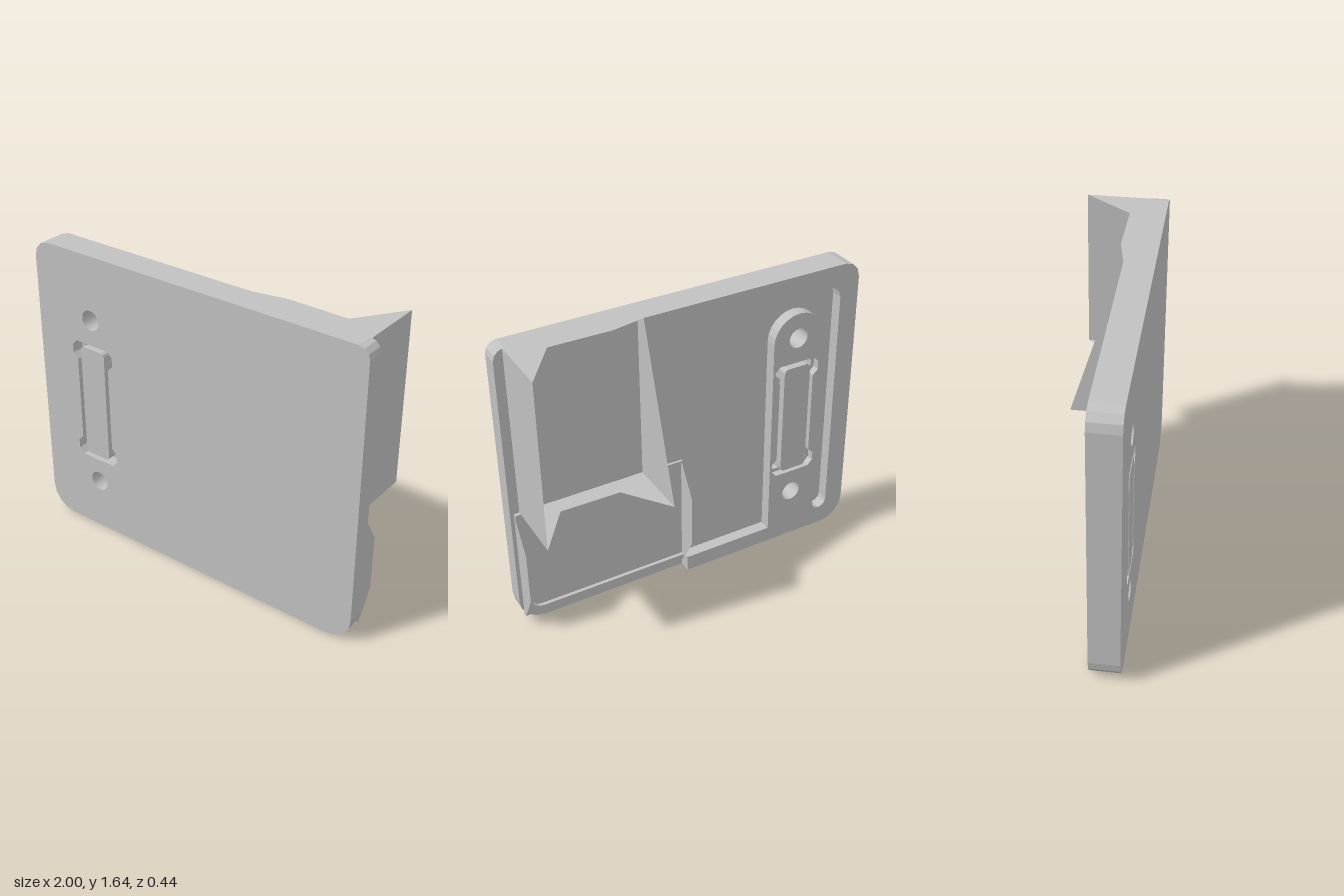
import * as THREE from 'three';

const grey = new THREE.MeshStandardMaterial({ color: 0xc0c0c0, side: THREE.DoubleSide });
grey.name = 'plain grey';

const toPath = (pts, Type = THREE.Shape) => new Type(pts.map(([a, b]) => new THREE.Vector2(a, b)));

// points along an arc, angles in degrees
function arc(cx, cy, r, from, to, n = 8) {
  return Array.from({ length: n + 1 }, (_, i) => {
    const t = THREE.MathUtils.degToRad(from + ((to - from) * i) / n);
    return [cx + r * Math.cos(t), cy + r * Math.sin(t)];
  });
}

export function createModel() {
  const group = new THREE.Group();
  const add = (name, geometry) => {
    const mesh = new THREE.Mesh(geometry, grey);
    mesh.name = name;
    group.add(mesh);
  };
  // solid layer parallel to the front, from z0 to z1
  const layer = (name, shape, z0, z1) =>
    add(name, new THREE.ExtrudeGeometry(shape, { depth: z1 - z0, bevelEnabled: false }).translate(0, 0, z0));
  // thin sheet standing across x, points given as [z, y]
  const wall = (name, x, pts) =>
    add(name, new THREE.ShapeGeometry(toPath(pts)).rotateY(-Math.PI / 2).translate(x, 0, 0));
  // thin horizontal sheet, points given as [x, z]
  const shelf = (name, y, pts) =>
    add(name, new THREE.ShapeGeometry(toPath(pts.map(([x, z]) => [x, -z]))).rotateX(-Math.PI / 2).translate(0, y, 0));

  // screw holes and the slot with widened ends
  const sx = -0.64, sy = 0.79, floor = 0.125;
  const mirrored = (quarter) => {
    const back = [...quarter].reverse();
    return [
      ...quarter.map(([a, b]) => [sx + a, sy + b]), ...back.map(([a, b]) => [sx - a, sy + b]),
      ...quarter.map(([a, b]) => [sx - a, sy - b]), ...back.map(([a, b]) => [sx + a, sy - b]),
    ];
  };
  const slot = mirrored([[0.105, 0.24], [0.135, 0.27], [0.135, 0.32], [0.105, 0.35]]);
  const pierce = (shape) => {
    for (const y of [0.3, 1.285]) shape.holes.push(toPath(arc(sx, y, 0.056, 0, 345, 23), THREE.Path));
    shape.holes.push(toPath(slot, THREE.Path));
    return shape;
  };

  // front plate
  const plate = toPath([
    ...arc(-0.86, 0.14, 0.14, 180, 270, 4), ...arc(0.86, 0.14, 0.14, 270, 360, 4),
    ...arc(0.94, 1.585, 0.06, 0, 90, 3), ...arc(-0.91, 1.555, 0.09, 90, 180, 3),
  ]);
  layer('frontPlate', pierce(plate), floor, 0.22);

  // tall rim with the slot pad joined to its bottom edge
  const rim = toPath([
    [0.26, 1.645], ...arc(-0.91, 1.555, 0.09, 90, 180, 3), ...arc(-0.86, 0.14, 0.14, 180, 270, 4),
    [0.03, 0], [0.03, 0.09], [-0.495, 0.09], ...arc(sx, 1.28, 0.15, 0, 180, 12),
    ...arc(-0.842, 0.155, 0.047, 0, -180, 6), ...arc(-0.82, 1.46, 0.07, 180, 90, 3), [0.26, 1.53],
  ]);
  layer('rimAndPad', pierce(rim), 0.06, floor);

  // bar inside the slot, and the web around it that leaves only the corners open
  layer('slotBar', toPath(mirrored([[0.08, 0.305], [0.073, 0.318], [0.06, 0.325]])), 0.055, 0.22);
  const web = toPath(slot);
  web.holes.push(toPath(mirrored([[0.079, 0.25], [0.115, 0.28], [0.115, 0.315], [0.095, 0.33]]), THREE.Path));
  layer('slotWeb', web, 0.1, 0.15);

  // upper pocket: top and bottom sheets, full side wall and tapered wall
  const pocket = (z) => [[0.26, z], [0.44, 0.025], [0.77, 0.03], [0.95, -0.22], [0.95, floor], [0.26, floor]];
  shelf('pocketTop', 1.645, pocket(0.06));
  shelf('pocketShelf', 0.71, pocket(-0.22));
  wall('pocketSideWall', 0.95, [[floor, 0.71], [floor, 1.645], [-0.22, 1.645], [-0.22, 0.71]]);
  wall('pocketTaperedWall', 0.26, [[floor, 0.71], [floor, 1.645], [0.06, 1.645], [-0.22, 0.71]]);

  // lower pocket: two trapezoid cheeks, a low lip with a rounded inner corner, and a ledge
  const cheek = [[floor, 0.05], [floor, 0.71], [0.01, 0.52], [0.01, 0.22], [0.105, 0.05]];
  for (const x of [0.03, 0.98]) wall('lowerCheek', x, cheek);
  const lip = toPath([
    [0.03, 0.05], [0.98, 0.05], [0.98, 0.71], [0.945, 0.71], ...arc(0.875, 0.15, 0.07, 0, -90, 4), [0.03, 0.08],
  ]);
  layer('lowerLip', lip, 0.105, floor);
  add('lowerLedge', new THREE.BoxGeometry(0.23, 0.01, 0.015).translate(0.145, 0.705, 0.118));

  return group;
}
